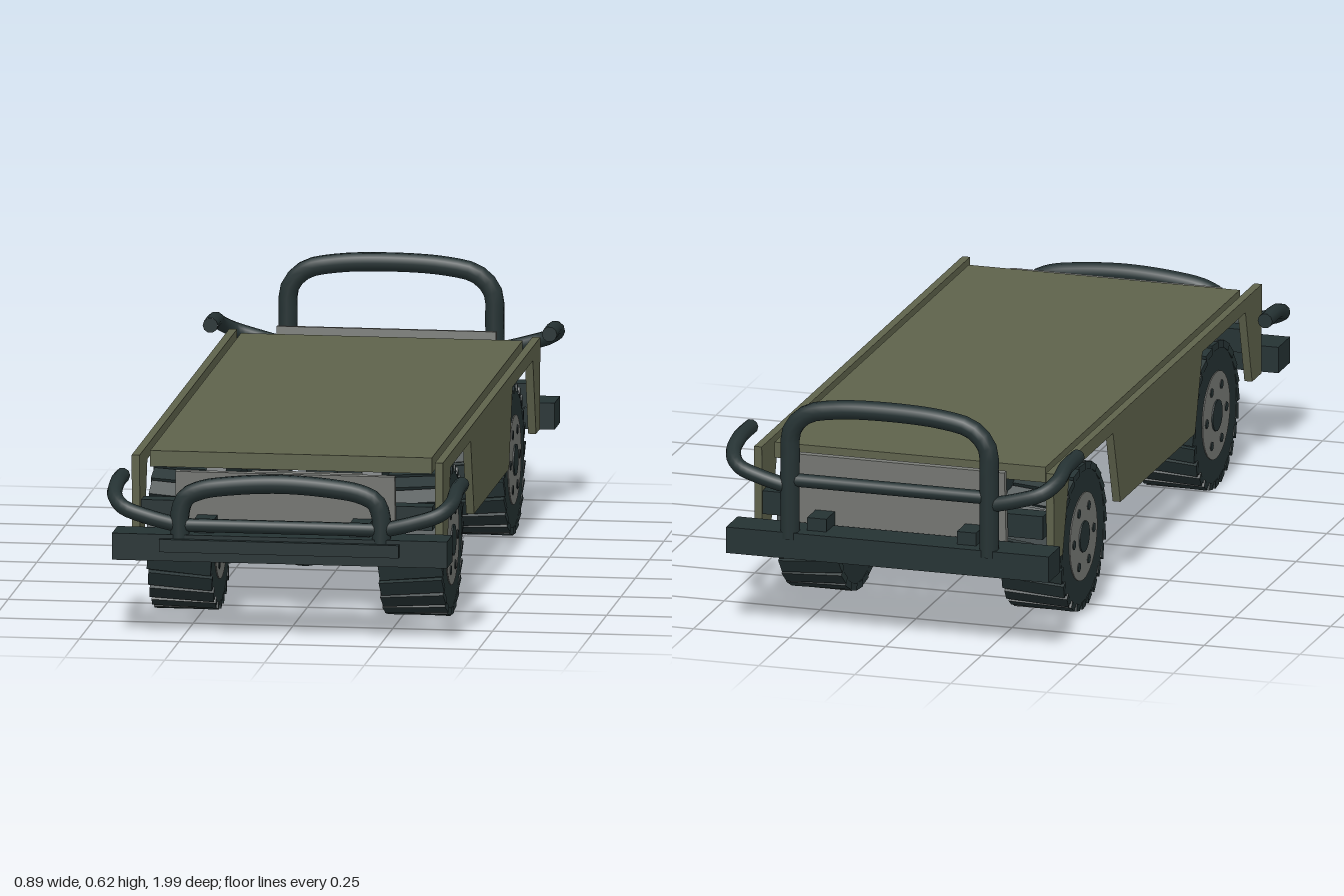
import * as THREE from 'three';

const mat = (name, color) => {
  const m = new THREE.MeshStandardMaterial({ color });
  m.name = name;
  return m;
};

export function createModel() {
  const olive = mat('olive paint', 0x5e624b);
  const dark = mat('dark metal', 0x253233);
  const grey = mat('grey metal', 0x777975);
  const root = new THREE.Group();
  root.name = 'offRoadChassis';

  const add = (name, geo, material, parent = root, x = 0, y = 0, z = 0) => {
    const m = new THREE.Mesh(geo, material);
    m.name = name;
    m.position.set(x, y, z);
    parent.add(m);
    return m;
  };
  // Box given by its limits on each axis
  const box = (name, material, x0, x1, y0, y1, z0, z1) =>
    add(name, new THREE.BoxGeometry(x1 - x0, y1 - y0, z1 - z0), material, root,
      (x0 + x1) / 2, (y0 + y1) / 2, (z0 + z1) / 2);
  // Side outline of [z, y] points, extruded along x between x0 and x1
  const sideProfile = (name, material, pts, x0, x1) => {
    const shape = new THREE.Shape(pts.map(p => new THREE.Vector2(p[0], p[1])));
    const geo = new THREE.ExtrudeGeometry(shape, { depth: x1 - x0, bevelEnabled: false });
    geo.rotateY(-Math.PI / 2).translate(x1, 0, 0);
    return add(name, geo, material);
  };
  // Round bar through points, with closed ends
  const bar = (name, material, pts, r, segments = 24) => {
    const v = pts.map(p => new THREE.Vector3(...p));
    const curve = v.length === 2 ? new THREE.LineCurve3(v[0], v[1])
      : new THREE.CatmullRomCurve3(v, false, 'centripetal');
    const m = add(name, new THREE.TubeGeometry(curve, v.length === 2 ? 1 : segments, r, 10), material);
    for (const t of [0, 1]) {
      const cap = add(name + 'End', new THREE.CircleGeometry(r, 10), material, m, ...curve.getPoint(t).toArray());
      cap.lookAt(cap.position.clone().addScaledVector(curve.getTangent(t), t ? 1 : -1));
    }
    return m;
  };

  // Deck
  box('deck', olive, -0.353, 0.353, 0.4, 0.44, -0.8, 0.785);

  // Side panels with angular wheel arches
  const panel = [[0.85, 0.44], [-0.85, 0.44], [-0.845, 0.21], [-0.775, 0.21], [-0.72, 0.405],
    [-0.365, 0.405], [-0.305, 0.21], [0.305, 0.21], [0.365, 0.405], [0.715, 0.405], [0.77, 0.21], [0.845, 0.21]];
  // Frame rails that rise over both axles
  const top = [[0.95, 0.3], [0.8, 0.3], [0.72, 0.4], [0.37, 0.4], [0.27, 0.31]];
  const low = [[0.27, 0.24], [0.39, 0.335], [0.69, 0.335], [0.78, 0.24], [0.95, 0.24]];
  const flip = pts => pts.map(([z, y]) => [-z, y]).reverse();
  const rail = [...top, ...flip(top), ...flip(low), ...low];
  for (const s of [-1, 1]) {
    const span = (a, b) => (s > 0 ? [a, b] : [-b, -a]);
    sideProfile('sidePanel', olive, panel, ...span(0.37, 0.39));
    sideProfile('frameRail', dark, rail, ...span(0.17, 0.22));
  }

  // Cross members and transfer case
  for (const z of [-0.3, 0.3]) box('crossMember', grey, -0.17, 0.17, 0.26, 0.3, z - 0.025, z + 0.025);
  box('transferCase', dark, -0.07, 0.07, 0.24, 0.34, -0.12, 0.04);

  // Wheel: tyre, slanted lugs, rim, hub and bolts
  const makeWheel = side => {
    const wheel = new THREE.Group();
    wheel.name = 'wheel';
    const disc = (name, r, w, n, m, x = 0, y = 0, z = 0) =>
      add(name, new THREE.CylinderGeometry(r, r, w, n).rotateZ(Math.PI / 2), m, wheel, x, y, z);
    disc('tyre', 0.178, 0.156, 32, dark);
    disc('rim', 0.112, 0.161, 28, grey);
    disc('hub', 0.04, 0.168, 16, dark);
    for (let i = 0; i < 6; i++) {
      const a = (i + 0.5) * Math.PI / 3;
      disc('wheelBolt', 0.012, 0.165, 8, dark, 0, Math.cos(a) * 0.08, Math.sin(a) * 0.08);
    }
    const lug = new THREE.BoxGeometry(0.16, 0.018, 0.04).rotateY(0.1 * side).translate(0, 0.178, 0);
    for (let i = 0; i < 24; i++) {
      add('treadLug', lug, dark, wheel).rotation.x = i * Math.PI / 12;
    }
    return wheel;
  };

  // Axles with differentials and drive shafts
  for (const z of [0.54, -0.543]) {
    for (const s of [-1, 1]) {
      const w = makeWheel(s);
      w.position.set(0.29 * s, 0.188, z);
      root.add(w);
    }
    add('axle', new THREE.CylinderGeometry(0.032, 0.032, 0.44, 14).rotateZ(Math.PI / 2), grey, root, 0, 0.188, z);
    add('differential', new THREE.SphereGeometry(0.074, 12, 8), dark, root, 0, 0.186, z);
    bar('driveShaft', dark, [[0, 0.2, z], [0, 0.29, z > 0 ? 0.02 : -0.1]], 0.022);
  }

  // Both ends: bumper, beam, end plate, hoop and corner bars
  for (const e of [1, -1]) {
    const front = e > 0;
    const zs = (a, b) => (front ? [a, b] : [-b, -a]);
    box('bumper', dark, -0.42, 0.42, 0.2, 0.267, ...zs(0.89, 0.985));
    box('endBeam', dark, -0.365, 0.365, 0.27, 0.33, ...zs(0.81, 0.86));
    const plate = box('endPlate', grey, -0.275, 0.275, 0.25, front ? 0.41 : 0.445, ...zs(0.868, 0.884));
    plate.rotation.x = 0.08 * e;

    const half = front
      ? [[0.252, 0.25], [0.252, 0.32], [0.238, 0.358], [0.2, 0.378], [0.13, 0.39]]
      : [[0.259, 0.25], [0.259, 0.45], [0.254, 0.53], [0.215, 0.573], [0.14, 0.591]];
    const mid = front ? 0.398 : 0.598;
    const z = 0.966 * e;
    const hoop = [...half.map(([x, y]) => [x, y, z]), [0, mid, z], ...half.slice().reverse().map(([x, y]) => [-x, y, z])];
    bar('guardHoop', dark, hoop, 0.024, 40);
    const barY = front ? 0.289 : 0.4;
    bar('guardCrossbar', dark, [[-0.25, barY, z], [0.25, barY, z]], 0.017);

    const lift = front ? 0 : 0.092;
    for (const s of [-1, 1]) {
      const path = [[0.25, 0.287, 0.966], [0.33, 0.307, 0.968], [0.395, 0.328, 0.958], [0.422, 0.35, 0.92],
        [0.425, 0.37, 0.86], [0.425, 0.372, 0.765]];
      bar('cornerBar', dark, path.map(([x, y, d]) => [x * s, y + lift, d * e]), 0.019);
    }
  }
  // Front bumper face plate
  box('bumperFace', dark, -0.3, 0.3, 0.225, 0.257, 0.98, 1);

  return root;
}
